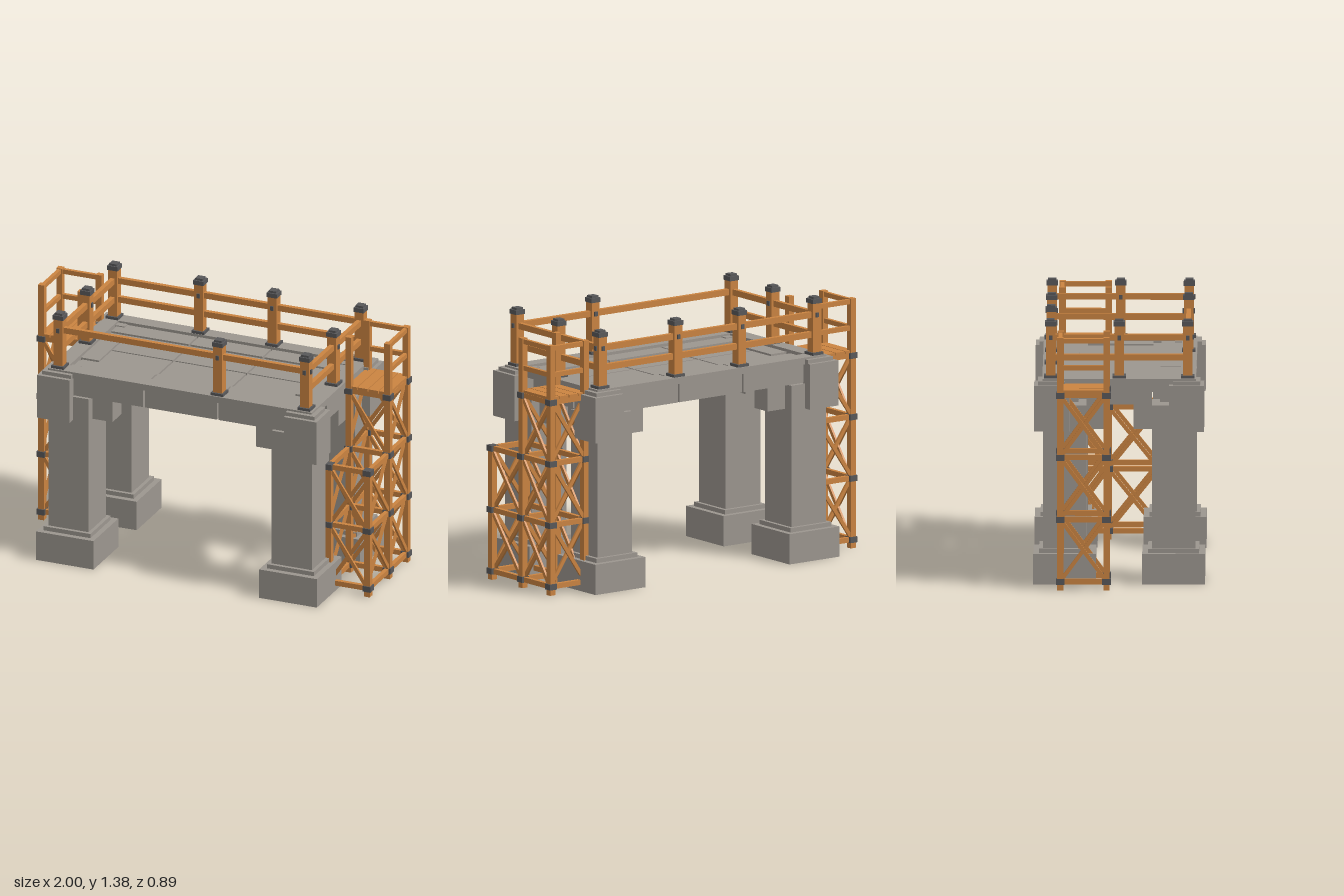
import * as THREE from 'three';

const stone = new THREE.MeshStandardMaterial({ color: 0x9c968f });
stone.name = 'grey stone';
const wood = new THREE.MeshStandardMaterial({ color: 0xcb8441 });
wood.name = 'orange timber';
const iron = new THREE.MeshStandardMaterial({ color: 0x58585a });
iron.name = 'dark iron';

// Box given by its low and high corner
function block(parent, name, mat, [x0, y0, z0], [x1, y1, z1]) {
  const m = new THREE.Mesh(new THREE.BoxGeometry(Math.abs(x1 - x0), Math.abs(y1 - y0), Math.abs(z1 - z0)), mat);
  m.position.set((x0 + x1) / 2, (y0 + y1) / 2, (z0 + z1) / 2);
  m.name = name;
  parent.add(m);
  return m;
}

// Box given by its centre and size
function box(parent, name, mat, x, y, z, w, h, d) {
  return block(parent, name, mat, [x - w / 2, y - h / 2, z - d / 2], [x + w / 2, y + h / 2, z + d / 2]);
}

// Square bar between two points
function bar(parent, name, a, b, w, h = w) {
  const p = new THREE.Vector3(...a), q = new THREE.Vector3(...b);
  const m = new THREE.Mesh(new THREE.BoxGeometry(w, h, p.distanceTo(q)), wood);
  m.position.copy(p).add(q).multiplyScalar(0.5);
  m.lookAt(q);
  m.name = name;
  parent.add(m);
}

function group(parent, name) {
  const g = new THREE.Group();
  g.name = name;
  parent.add(g);
  return g;
}

// Stone pier with plinth, corner block and two brackets
function makePier(parent, sx, sz) {
  const g = group(parent, 'pier');
  const x = 0.63 * sx, z = 0.282 * sz;
  box(g, 'plinth', stone, x, 0.08, z, 0.325, 0.16, 0.325);
  box(g, 'plinthStep', stone, x, 0.171, z, 0.265, 0.024, 0.265);
  box(g, 'shaft', stone, x, 0.556, z, 0.226, 0.75, 0.226);
  block(g, 'cornerBlock', stone, [0.605 * sx, 0.8, 0.258 * sz], [0.788 * sx, 1.04, 0.44 * sz]);
  block(g, 'cornerStep', stone, [0.605 * sx, 1.04, 0.28 * sz], [0.768 * sx, 1.06, 0.42 * sz]);
  block(g, 'sideBracket', stone, [0.405 * sx, 0.8, 0.225 * sz], [0.518 * sx, 0.932, 0.34 * sz]);
  block(g, 'endBracket', stone, [0.575 * sx, 0.8, 0.075 * sz], [0.69 * sx, 0.932, 0.17 * sz]);
}

// Deck: split side beams, end beams, raised rim and floor slabs
function makeDeck(parent) {
  const g = group(parent, 'deck');
  const cuts = [[-0.65, -0.213], [-0.203, 0.203], [0.213, 0.65]];
  for (const s of [-1, 1]) {
    for (const [a, b] of cuts) {
      block(g, 'sideBeam', stone, [a, 0.935, 0.21 * s], [b, 1.055, 0.385 * s]);
      block(g, 'floorSlab', stone, [a, 1.03, 0.005 * s], [b, 1.045, 0.21 * s]);
    }
    block(g, 'endBeam', stone, [0.555 * s, 0.935, -0.17], [0.73 * s, 1.055, 0.17]);
    block(g, 'sideRim', stone, [-0.743, 1.035, 0.318 * s], [0.743, 1.07, 0.398 * s]);
    block(g, 'endRim', stone, [0.657 * s, 1.035, -0.318], [0.743 * s, 1.07, 0.318]);
  }
}

// Railing post with iron foot, cap and bolts
function makePost(parent, x, z) {
  const g = group(parent, 'railingPost');
  box(g, 'foot', iron, x, 1.077, z, 0.07, 0.015, 0.07);
  box(g, 'post', wood, x, 1.21, z, 0.05, 0.28, 0.05);
  box(g, 'cap', iron, x, 1.354, z, 0.058, 0.024, 0.058);
  box(g, 'capTop', iron, x, 1.371, z, 0.042, 0.012, 0.042);
  box(g, 'bolt', iron, x, 1.282, z, 0.018, 0.024, 0.064);
  box(g, 'bolt', iron, x, 1.282, z, 0.064, 0.024, 0.018);
}

function makeRailing(parent) {
  const g = group(parent, 'railing');
  const X = 0.695, Z = 0.355;
  for (const x of [-X, -0.21, 0.205, X]) makePost(g, x, -Z);
  for (const x of [-X, 0.205, X]) makePost(g, x, Z);
  for (const x of [-X, X]) makePost(g, x, 0);
  for (const y of [1.282, 1.177]) {
    bar(g, 'backRail', [-X, y, -Z], [X, y, -Z], 0.024, 0.032);
    for (const x of [-X, X]) bar(g, 'endRail', [x, y, -Z], [x, y, Z], 0.024, 0.032);
  }
  bar(g, 'frontRail', [-X, 1.282, Z], [X, 1.282, Z], 0.024, 0.032);
}

// Crossed braces and level bars on one face of a tower
function makeFace(g, [ax, az], [bx, bz], levels) {
  levels.forEach((y, i) => {
    bar(g, 'levelBar', [ax, y, az], [bx, y, bz], 0.022, 0.027);
    if (i === 0) return;
    const y0 = levels[i - 1];
    // The two braces sit side by side
    const n = new THREE.Vector2(bz - az, ax - bx).normalize().multiplyScalar(0.006);
    bar(g, 'brace', [ax + n.x, y0, az + n.y], [bx + n.x, y, bz + n.y], 0.012, 0.02);
    bar(g, 'brace', [ax - n.x, y, az - n.y], [bx - n.x, y0, bz - n.y], 0.012, 0.02);
  });
}

function makeLeg(g, [x, z], top, levels) {
  box(g, 'leg', wood, x, top / 2, z, 0.033, top, 0.033);
  for (const y of levels) box(g, 'joint', iron, x, y, z, 0.045, 0.031, 0.045);
}

// Timber scaffold tower with a boarded platform
function makeTower(parent, xIn, xOut, lowerStage) {
  const g = group(parent, 'scaffoldTower');
  const levels = [0.045, 0.37, 0.695, 1.02], low = levels.slice(0, 3);
  const zB = -0.303, zF = -0.064, zL = 0.197;
  for (const x of [xIn, xOut]) {
    for (const z of [zB, zF]) makeLeg(g, [x, z], 1.322, levels);
    makeFace(g, [x, zB], [x, zF], levels);
    if (lowerStage) {
      makeLeg(g, [x, zL], 0.71, low);
      makeFace(g, [x, zF], [x, zL], low);
    }
  }
  for (const z of [zB, zF]) makeFace(g, [xIn, z], [xOut, z], levels);
  if (lowerStage) makeFace(g, [xIn, zL], [xOut, zL], low);

  // Platform boards
  const s = Math.sign(xOut), n = 4;
  const a = Math.abs(xIn) - 0.012, w = (Math.abs(xOut) + 0.012 - a) / n;
  for (let i = 0; i < n; i++) {
    box(g, 'board', wood, s * (a + (i + 0.5) * w), 1.04, (zB + zF) / 2, w - 0.005, 0.014, 0.262);
  }
  // Guard rails on the outer and back sides
  for (const y of [1.305, 1.165]) {
    bar(g, 'guardRail', [xOut, y, zB], [xOut, y, zF], 0.02, 0.025);
    bar(g, 'guardRail', [xIn, y, zB], [xOut, y, zB], 0.02, 0.025);
  }
}

export function createModel() {
  const model = new THREE.Group();
  model.name = 'stoneBridgeWithScaffolds';
  for (const sx of [-1, 1]) for (const sz of [-1, 1]) makePier(model, sx, sz);
  makeDeck(model);
  makeRailing(model);
  makeTower(model, -0.755, -0.977, false);
  makeTower(model, 0.757, 0.975, true);
  return model;
}
